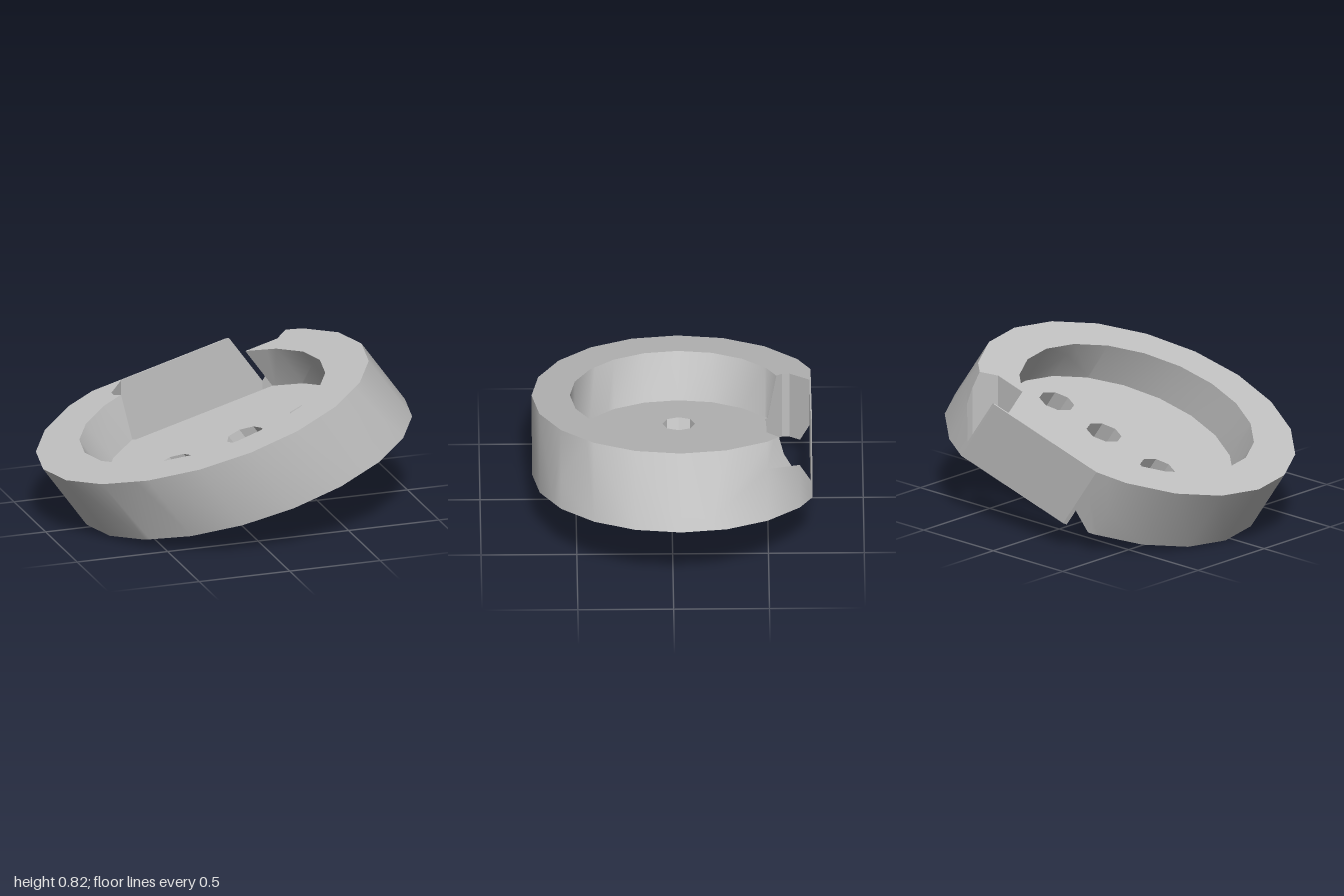
import * as THREE from 'three';
import { toCreasedNormals } from 'three/addons/utils/BufferGeometryUtils.js';

const SIDES = 20, FLOOR = 0.375, BACK = -0.73;

// Slanted frame: u and w lie in the tilted disc plane, t runs from underside (0) to rim (1)
const P = (u, w, t) => new THREE.Vector3(0.12 - 0.24 * t + u, 0.245 + 0.335 * t + 0.278 * u, -0.04 + w);

// Elliptical ring of [u, w] pairs
const ring = (ru, rw, n, u0 = 0) => Array.from({ length: n }, (_, i) => {
  const a = (i / n) * Math.PI * 2;
  return new THREE.Vector2(u0 + ru * Math.cos(a), rw * Math.sin(a));
});
const lift = (pts, t) => pts.map(p => P(p.x, p.y, t));
const bridge = (a, b) => a.map((p, i) => {
  const j = (i + 1) % a.length;
  return [p, a[j], b[j], b[i]];
});
const walls = (pts, t0, t1) => bridge(lift(pts, t0), lift(pts, t1));

// Flat plate with holes, as triangles
function plate(contour, holes, t) {
  const all = lift([contour, ...holes].flat(), t);
  return THREE.ShapeUtils.triangulateShape(contour, holes).map(f => f.map(i => all[i]));
}

// Convex solids are lists of planes whose positive side is inside
const planesOf = (faces, inside) => faces.map(f => {
  const p = new THREE.Plane().setFromCoplanarPoints(f[0], f[1], f[2]);
  return p.distanceToPoint(inside) < 0 ? p.negate() : p;
});

// Part of a convex polygon on the inner (sign 1) or outer (sign -1) side of a plane
function clip(poly, plane, sign = 1) {
  const out = [];
  poly.forEach((a, i) => {
    const b = poly[(i + 1) % poly.length];
    const da = sign * plane.distanceToPoint(a), db = sign * plane.distanceToPoint(b);
    if (da >= -1e-7) out.push(a);
    if ((da > 1e-7 && db < -1e-7) || (da < -1e-7 && db > 1e-7)) out.push(a.clone().lerp(b, da / (da - db)));
  });
  return out.length > 2 ? out : [];
}
const keep = (polys, planes) => polys
  .map(poly => planes.reduce((p, pl) => clip(p, pl), poly)).filter(p => p.length);
const cut = (polys, planes) => polys.flatMap(poly => {
  const out = [];
  let rest = poly;
  for (const pl of planes) {
    const outside = clip(rest, pl, -1);
    if (outside.length) out.push(outside);
    rest = clip(rest, pl);
    if (!rest.length) break;
  }
  return out;
});

// Mesh from convex polygons; facing(centre) gives the direction each should look
function makeMesh(name, polys, material, facing, crease) {
  const pos = [], n = new THREE.Vector3(), e = new THREE.Vector3();
  for (const poly of polys) {
    const mid = poly.reduce((s, p) => s.add(p), new THREE.Vector3()).divideScalar(poly.length);
    const dir = facing(mid);
    for (let i = 1; i < poly.length - 1; i++) {
      const [a, b, c] = [poly[0], poly[i], poly[i + 1]];
      n.subVectors(b, a).cross(e.subVectors(c, a));
      if (n.length() < 1e-9) continue;
      for (const p of n.dot(dir) > 0 ? [a, b, c] : [a, c, b]) pos.push(p.x, p.y, p.z);
    }
  }
  const geo = new THREE.BufferGeometry();
  geo.setAttribute('position', new THREE.Float32BufferAttribute(pos, 3));
  geo.computeVertexNormals();
  const mesh = new THREE.Mesh(crease ? toCreasedNormals(geo, crease) : geo, material);
  mesh.name = name;
  return mesh;
}

export function createModel() {
  const group = new THREE.Group();
  group.name = 'tiltedDish';
  const grey = new THREE.MeshStandardMaterial({ color: 0xc0c0c0 });
  grey.name = 'grey';

  const outer = ring(0.88, 0.77, SIDES), inner = ring(0.65, 0.57, SIDES);
  const holes = [-0.3, 0.085, 0.425].map(u => ring(0.097, 0.085, 8, u));
  const outerWalls = walls(outer, 0, 1), innerWalls = walls(inner, FLOOR, 1);
  const backPlane = new THREE.Plane(new THREE.Vector3(0, 0, 1), -BACK);

  // Upright slot with chamfered corners near the back
  const slotXZ = [[-0.33, -0.722], [0.45, -0.722], [0.55, -0.62], [0.55, -0.58],
    [0.45, -0.49], [-0.33, -0.49], [-0.42, -0.58], [-0.42, -0.62]];
  const slotRing = y => slotXZ.map(([x, z]) => new THREE.Vector3(x, y, z));
  const slotWalls = bridge(slotRing(-0.5), slotRing(1.5));
  const slotMid = new THREE.Vector3(0.06, 0.4, -0.6);
  const slot = planesOf(slotWalls, slotMid);

  // Solids used for trimming
  const centre = P(0, 0, 0.5), pocketMid = P(0, 0, 0.7);
  const body = [...planesOf([...outerWalls, lift(outer, 0), lift(outer, 1)], centre), backPlane];
  const pocket = planesOf([...innerWalls, lift(inner, FLOOR)], pocketMid);

  const trim = polys => cut(keep(polys, [backPlane]), slot);
  const up = P(0, 0, 1).sub(P(0, 0, 0)), down = up.clone().negate();
  const add = (...args) => group.add(makeMesh(...args));

  add('outerWall', trim(outerWalls), grey, m => m.clone().sub(centre), 0.6);
  add('innerWall', trim(innerWalls), grey, m => pocketMid.clone().sub(m), 0.6);
  add('rim', trim(bridge(lift(outer, 1), lift(inner, 1))), grey, () => up);
  add('floor', trim(plate(inner, holes, FLOOR)), grey, () => up);
  add('underside', trim(plate(outer, holes, 0)), grey, () => down);

  // Flat back: thin web left behind the slot
  const backFace = [[-2, -1], [2, -1], [2, 2], [-2, 2]].map(([x, y]) => new THREE.Vector3(x, y, BACK));
  add('backFace', keep([backFace], body.slice(0, -1)), grey, () => new THREE.Vector3(0, 0, -1));

  add('slotWalls', cut(keep(slotWalls, body), pocket), grey, m => slotMid.clone().setY(m.y).sub(m));

  // Drain holes through the floor
  holes.forEach((h, i) => {
    const mid = P([-0.3, 0.085, 0.425][i], 0, FLOOR / 2);
    add('drainHole' + (i + 1), walls(h, 0, FLOOR), grey, m => mid.clone().sub(m));
  });
  return group;
}
